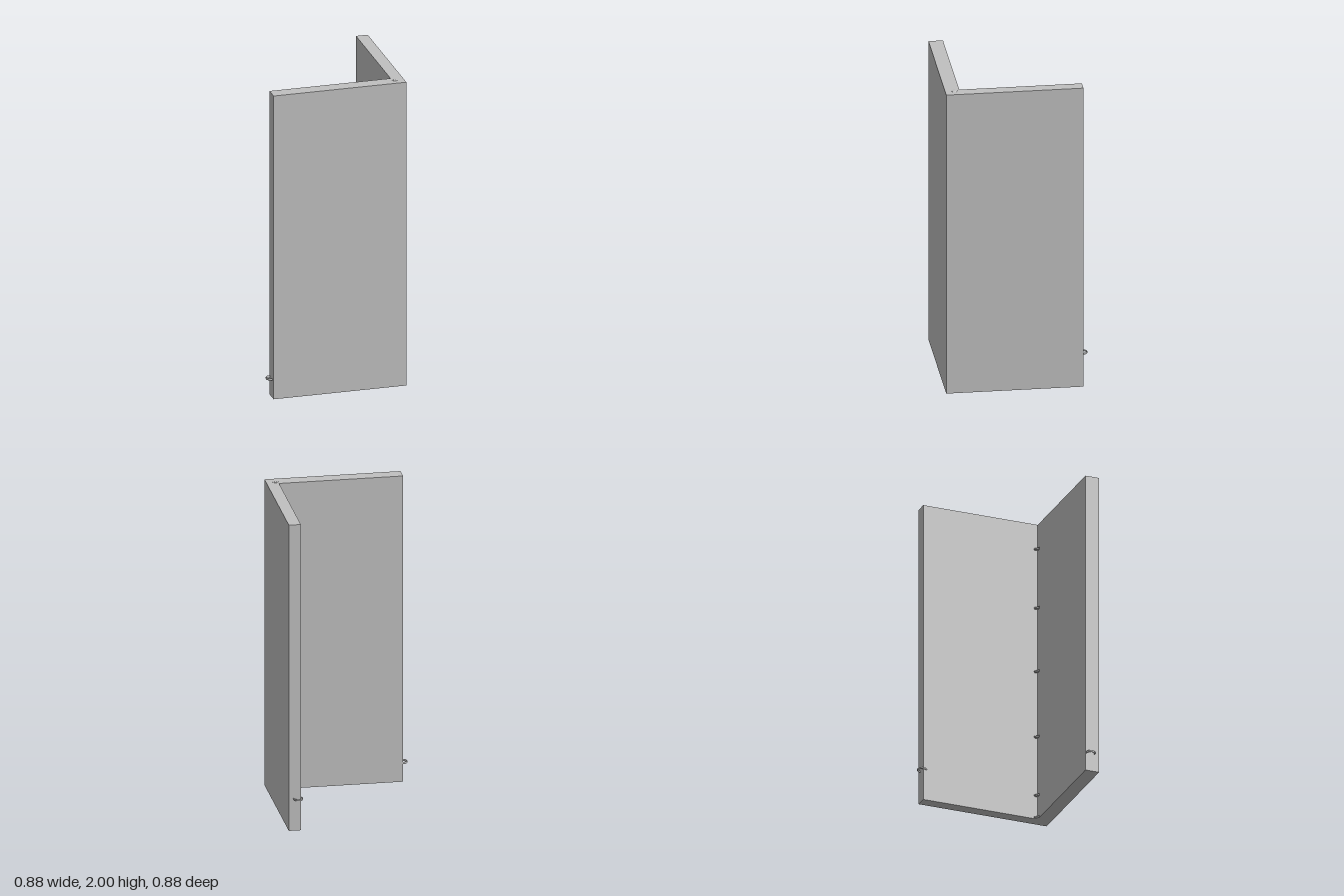
import * as THREE from 'three';

export function createModel() {
  const group = new THREE.Group();
  const grey = new THREE.MeshStandardMaterial({ color: 0xc0c0c0 });
  grey.name = 'light grey';

  function add(name, geometry, x = 0, y = 0, z = 0) {
    const mesh = new THREE.Mesh(geometry, grey);
    mesh.name = name;
    mesh.position.set(x, y, z);
    group.add(mesh);
    return mesh;
  }

  // Upright prism from a plan outline given as [x, z] pairs
  function prism(plan, height) {
    const shape = new THREE.Shape(plan.map(([x, z]) => new THREE.Vector2(x, -z)));
    return new THREE.ExtrudeGeometry(shape, { depth: height, bevelEnabled: false }).rotateX(-Math.PI / 2);
  }

  // Two tall panels meeting at a right angle
  add('cornerPanels', prism([
    [-0.41, 0.35], [-0.41, 0.44], [0.44, 0.44], [0.44, -0.41], [0.365, -0.41], [0.365, 0.35],
  ], 1.996));

  // Shallow domed cap of the hinge pin
  add('pinCap', new THREE.SphereGeometry(0.018, 24, 12), 0.382, 1.996, 0.382).scale.y = 0.22;

  // Ring pulls threaded through the free ends
  const ring = new THREE.TorusGeometry(0.028, 0.003, 8, 40).rotateX(Math.PI / 2);
  add('frontPanelRing', ring, -0.412, 0.12, 0.382).scale.y = 2.4;
  add('sidePanelRing', ring, 0.382, 0.207, -0.412).scale.y = 2;

  // Small hinge lugs up the inner corner
  const lug = prism([[0.333, 0.351], [0.366, 0.351], [0.366, 0.328], [0.354, 0.333]], 0.012);
  const knuckle = new THREE.SphereGeometry(0.006, 12, 8);
  for (const y of [0, 0.15, 0.546, 0.99, 1.42, 1.82]) {
    add('hingeLug', lug, 0, y, 0);
    add('hingeKnuckle', knuckle, 0.359, y + 0.006, 0.329);
  }
  return group;
}
